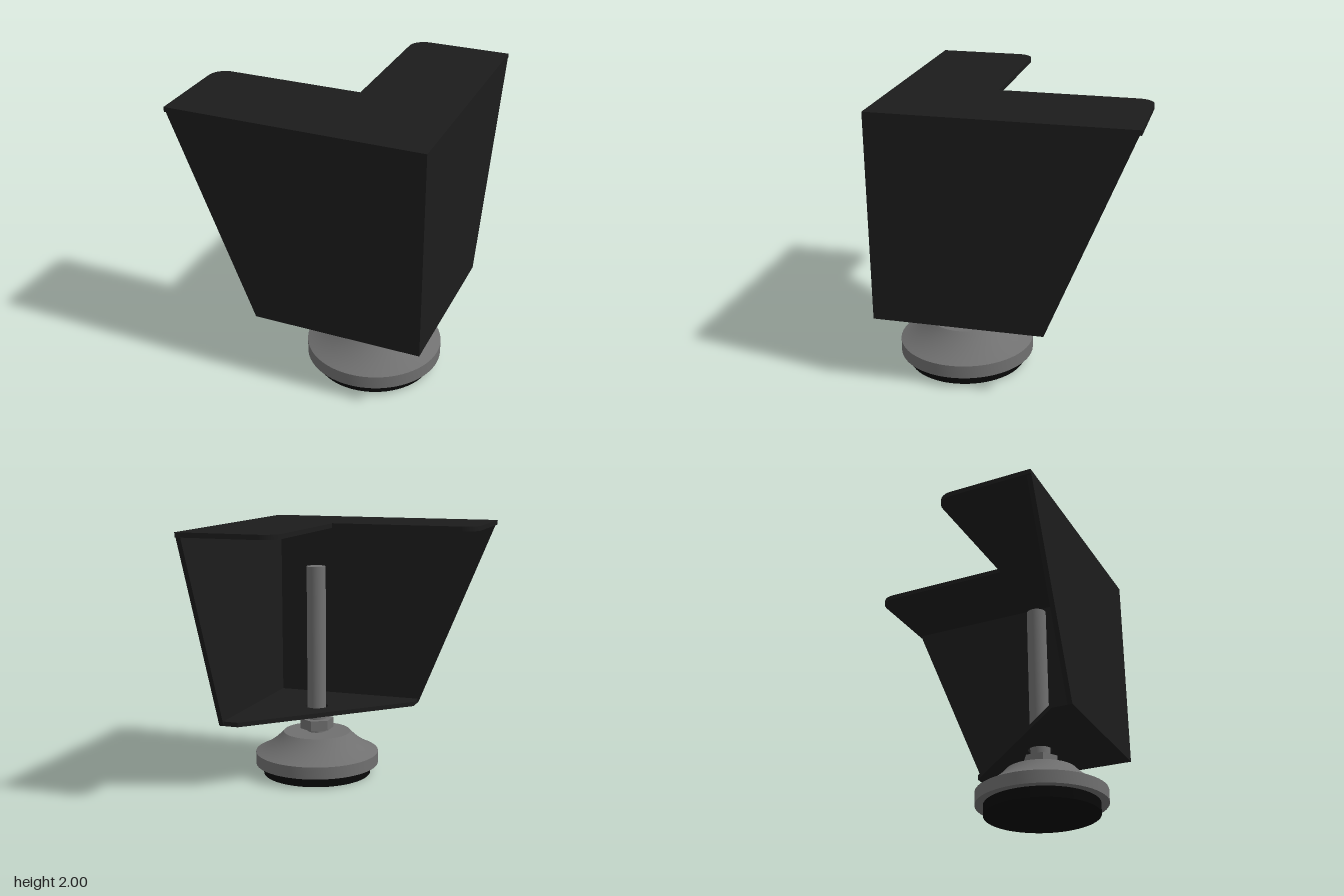
import * as THREE from 'three';
import { toCreasedNormals } from 'three/addons/utils/BufferGeometryUtils.js';

const E = 0.915;        // outer half width of the bracket
const T = 0.035;        // sheet thickness
const BASE = 0.503;     // underside of the bracket
const FOOT = 0.392;     // x and z of the foot axis

const painted = new THREE.MeshStandardMaterial({ color: 0x1c1c1c });
const steel = new THREE.MeshStandardMaterial({ color: 0x707070 });
const rubber = new THREE.MeshStandardMaterial({ color: 0x080808 });

function add(parent, name, geometry, material) {
  const mesh = new THREE.Mesh(geometry, material);
  mesh.name = name;
  parent.add(mesh);
  return mesh;
}

const extrude = (shape) =>
  toCreasedNormals(new THREE.ExtrudeGeometry(shape, { depth: T, bevelEnabled: false, curveSegments: 12 }), 0.5);

// Horizontal sheet: shape (x, z) with its upper face at the given height
const plate = (shape, top) => extrude(shape).rotateX(Math.PI / 2).translate(0, top, 0);

// Vertical tapered sheet facing +z; side = -1 mirrors the taper
function wall(side) {
  const outline = [[-E, 2], [-0.3, BASE], [E, BASE], [E, 2]];
  const shape = new THREE.Shape(outline.map(([u, y]) => new THREE.Vector2(u * side, y)));
  return extrude(shape).translate(0, 0, E - T);
}

// Solid of revolution with crisp rims
const turned = (points) =>
  toCreasedNormals(new THREE.LatheGeometry(points, 64), 0.5);

export function createModel() {
  const model = new THREE.Group();
  model.name = 'cornerLeg';

  const bracket = new THREE.Group();
  bracket.name = 'bracket';
  model.add(bracket);

  // L-shaped mounting plate with rounded inner tips
  const inner = 0.185, r = 0.12;
  const top = new THREE.Shape();
  top.moveTo(E, E);
  top.lineTo(E, -E);
  top.absarc(inner + r, -E + r, r, -Math.PI / 2, -Math.PI, true);
  top.lineTo(inner, inner);
  top.absarc(-E + r, inner + r, r, -Math.PI / 2, -Math.PI, true);
  top.lineTo(-E, E);
  top.closePath();
  add(bracket, 'topPlate', plate(top, 2), painted);

  // Two tapered walls meeting at the outer corner
  add(bracket, 'frontWall', wall(1), painted);
  add(bracket, 'sideWall', wall(-1).rotateY(Math.PI / 2), painted);

  // Triangular base with blunt tips and a hole for the stem
  const tip = E - 0.15;
  const base = new THREE.Shape(
    [[E, E], [E, -0.3], [tip, -0.3], [-0.3, tip], [-0.3, E]].map(([x, z]) => new THREE.Vector2(x, z))
  );
  base.holes.push(new THREE.Path().absarc(FOOT, FOOT, 0.09, 0, Math.PI * 2, false));
  add(bracket, 'basePlate', plate(base, BASE + T), painted);

  // Levelling foot
  const foot = new THREE.Group();
  foot.name = 'levellingFoot';
  foot.position.set(FOOT, 0, FOOT);
  model.add(foot);

  add(foot, 'stem', new THREE.CylinderGeometry(0.074, 0.074, 1.33, 40).translate(0, 0.985, 0), steel);

  const nut = new THREE.CylinderGeometry(0.133, 0.133, 0.08, 6);
  add(foot, 'lockNut', toCreasedNormals(nut, 0.5).translate(0, 0.4, 0), steel);

  // Flared metal disc
  const flare = new THREE.QuadraticBezierCurve(
    new THREE.Vector2(0.487, 0.175), new THREE.Vector2(0.35, 0.235), new THREE.Vector2(0.265, 0.335)
  );
  add(foot, 'footDisc', turned([
    new THREE.Vector2(0, 0.08), new THREE.Vector2(0.487, 0.08),
    ...flare.getPoints(10), new THREE.Vector2(0, 0.335)
  ]), steel);

  add(foot, 'rubberPad', new THREE.CylinderGeometry(0.426, 0.426, 0.08, 64).translate(0, 0.04, 0), rubber);

  return model;
}
